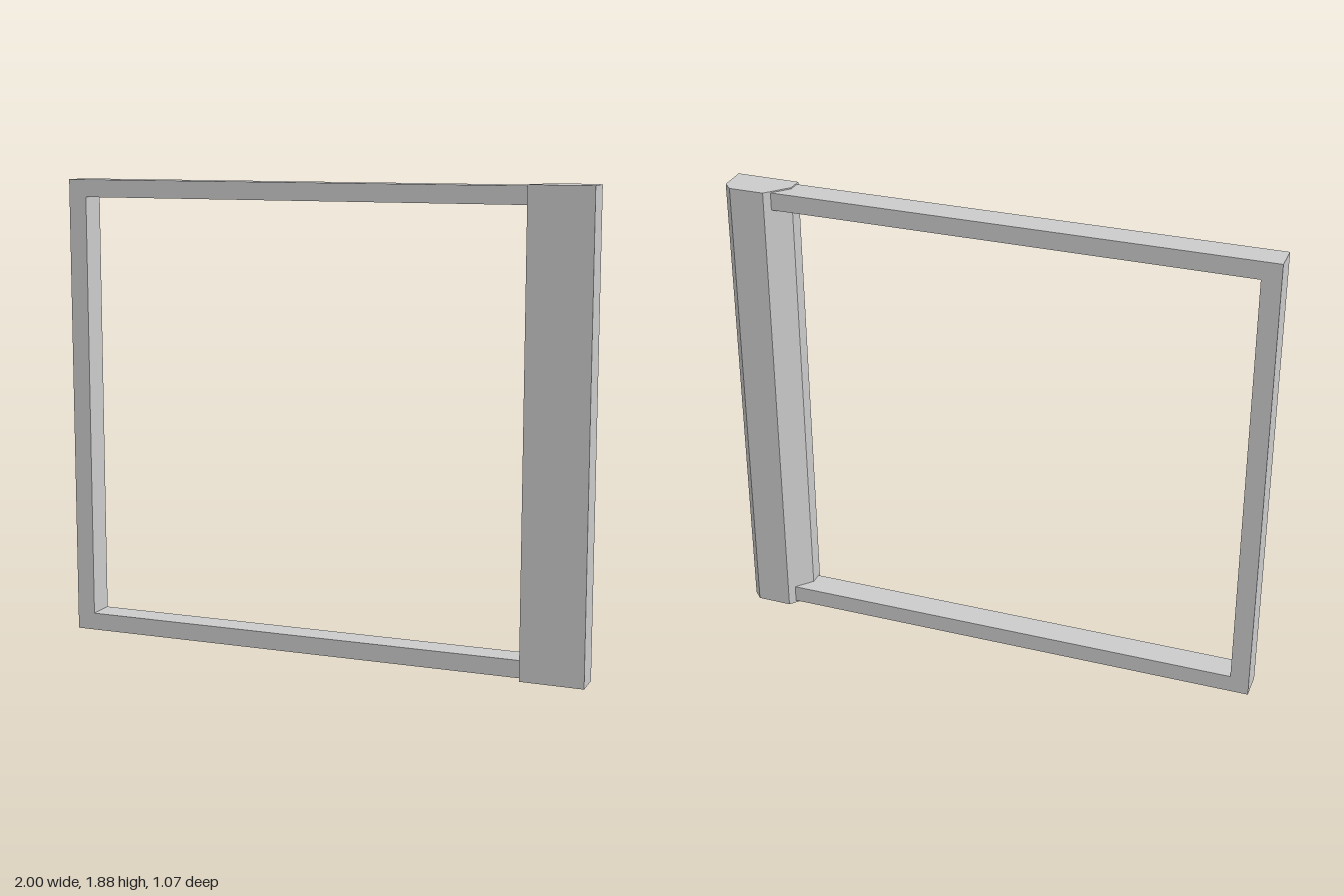
import * as THREE from 'three';

const material = new THREE.MeshStandardMaterial({ color: 0xcccccc, flatShading: true });

// Extrude a closed outline of [x, y] points along +z
function prism(name, points, depth) {
  const shape = new THREE.Shape(points.map(([x, y]) => new THREE.Vector2(x, y)));
  const geometry = new THREE.ExtrudeGeometry(shape, { depth, bevelEnabled: false });
  const mesh = new THREE.Mesh(geometry, material);
  mesh.name = name;
  return mesh;
}

export function createModel() {
  const model = new THREE.Group();
  model.name = 'openFrame';

  // Three-sided frame: bottom rail, side stile and top rail, turned about y
  const length = 2, bottom = 0.01, top = 1.875, bar = 0.07, stile = 0.075;
  const frame = prism('frame', [
    [0, bottom], [length, bottom], [length, bottom + bar], [stile, bottom + bar],
    [stile, top - bar], [length, top - bar], [length, top], [0, top],
  ], 0.114);
  frame.position.set(-1, 0, 0.428);
  frame.rotation.y = 0.46;
  model.add(frame);

  // Thicker post closing the frame, given by its plan outline (x, -z)
  const post = prism('post', [
    [0.77, 0.308], [1, 0.418], [0.947, 0.52], [0.9, 0.538], [0.774, 0.477], [0.743, 0.364],
  ], 1.88);
  post.rotation.x = -Math.PI / 2;
  model.add(post);

  return model;
}
